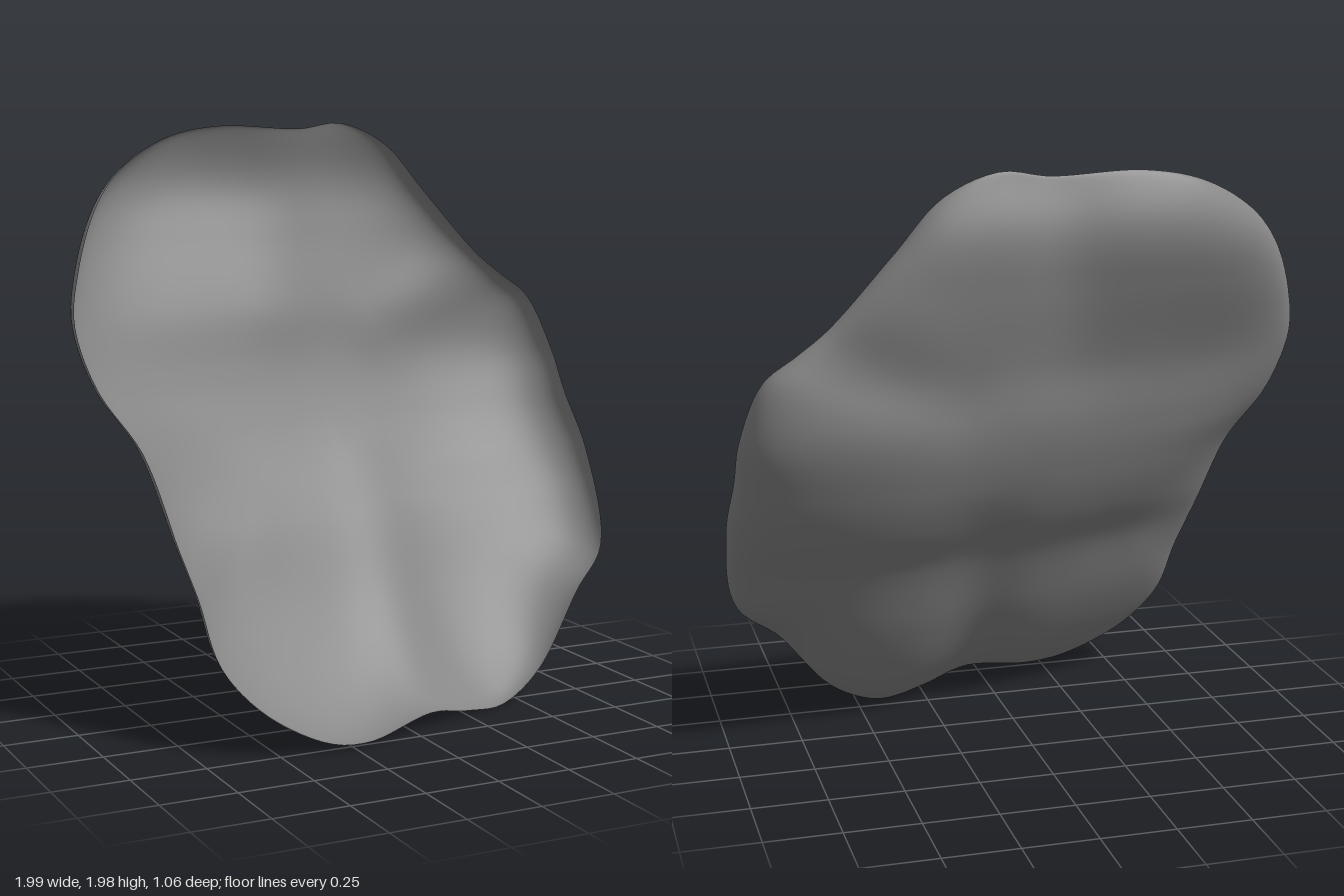
import * as THREE from 'three';

// Open rim of the shell, counter-clockwise from the right-hand side: x, y, z
const RIM = [
  [0.995, 0.8, -0.09], [0.98, 1.0, -0.22], [0.97, 1.15, -0.3], [0.9, 1.35, -0.37], [0.8, 1.43, -0.39],
  [0.7, 1.51, -0.4], [0.5, 1.74, -0.44], [0.35, 1.91, -0.46], [0.17, 1.985, -0.46], [0, 1.965, -0.44],
  [-0.3, 1.975, -0.43], [-0.5, 1.94, -0.41], [-0.7, 1.84, -0.32], [-0.83, 1.72, -0.21], [-0.95, 1.52, -0.05],
  [-0.995, 1.35, 0.035], [-0.95, 1.15, 0.115], [-0.83, 0.95, 0.19], [-0.75, 0.65, 0.29], [-0.71, 0.5, 0.35],
  [-0.67, 0.3, 0.43], [-0.55, 0.15, 0.49], [-0.35, 0.04, 0.53], [-0.2, 0.02, 0.52], [0.07, 0.06, 0.44],
  [0.25, 0.025, 0.37], [0.42, 0.01, 0.31], [0.6, 0.1, 0.25], [0.8, 0.34, 0.17], [0.95, 0.48, 0.09],
];

// Depth of the back along its height: y, z
const BACK = [[0, 0.17], [0.15, 0.06], [0.36, -0.06], [0.63, -0.2], [0.79, -0.32], [0.95, -0.41],
  [1.15, -0.485], [1.35, -0.505], [1.6, -0.54], [1.8, -0.555], [2, -0.5]];

// Soft folds running in from the notches of the outline: start, end, width, height
const FOLDS = [
  [0.1, 0, 0.15, 0.75, 0.14, 0.045],
  [-0.02, 2, -0.12, 1.35, 0.16, 0.03],
  [0.8, 1.5, 0.3, 1.25, 0.13, 0.035],
  [-0.85, 0.98, -0.4, 0.65, 0.15, 0.03],
];

// Smooth interpolation through a y -> z table
function sample(table, y) {
  let i = 0;
  while (i < table.length - 2 && y > table[i + 1][0]) i++;
  const at = (j) => table[Math.min(Math.max(j, 0), table.length - 1)];
  const slope = (j) => (at(j + 1)[1] - at(j - 1)[1]) / (at(j + 1)[0] - at(j - 1)[0]);
  const [y0, z0] = at(i), [y1, z1] = at(i + 1), h = y1 - y0;
  const t = THREE.MathUtils.clamp((y - y0) / h, 0, 1), t2 = t * t, t3 = t2 * t;
  return (2 * t3 - 3 * t2 + 1) * z0 + (t3 - 2 * t2 + t) * h * slope(i)
    + (3 * t2 - 2 * t3) * z1 + (t3 - t2) * h * slope(i + 1);
}

// Height of one fold, fading out around its end
function foldHeight([x0, y0, x1, y1, width, height], x, y) {
  const dx = x1 - x0, dy = y1 - y0;
  const t = THREE.MathUtils.clamp(((x - x0) * dx + (y - y0) * dy) / (dx * dx + dy * dy), 0, 1);
  const d = Math.hypot(x - x0 - t * dx, y - y0 - t * dy);
  return height * Math.exp(-((d / width) ** 2)) * (1 - 0.6 * THREE.MathUtils.smoothstep(t, 0, 1));
}

// Floor of the hollow: leans back, comes forward towards -x, with soft folds
function floorDepth(x, y) {
  const lean = 0.25 - 0.2 * THREE.MathUtils.smoothstep(y, 1.1, 1.95);
  const d = 0.5 - x;
  const across = (d + Math.sqrt(d * d + 0.04)) / 2;
  return sample(BACK, y) + lean * across + FOLDS.reduce((sum, f) => sum + foldHeight(f, x, y), 0);
}

export function createModel() {
  const group = new THREE.Group();
  group.name = 'rockShell';

  const rim = new THREE.CatmullRomCurve3(RIM.map((p) => new THREE.Vector3(...p)), true, 'centripetal');
  const around = 180, rings = 48, cx = 0.02, cy = 1;
  const loop = rim.getSpacedPoints(around).slice(0, around);

  // Rings grow from the centre of the floor and turn up into the rim wall
  const positions = [cx, cy, floorDepth(cx, cy)];
  for (let j = 1; j <= rings; j++) {
    const a = (j / rings) * Math.PI / 2;
    const s = Math.pow(Math.sin(a), 0.65);
    const wall = Math.pow(1 - Math.cos(a), 1.7);
    for (const p of loop) {
      const x = cx + (p.x - cx) * s, y = cy + (p.y - cy) * s;
      positions.push(x, y, THREE.MathUtils.lerp(floorDepth(x, y), p.z, wall));
    }
  }
  const index = [];
  for (let i = 0; i < around; i++) {
    const n = (i + 1) % around;
    index.push(0, 1 + i, 1 + n);
    for (let j = 0; j < rings - 1; j++) {
      const a = 1 + j * around + i, b = 1 + j * around + n;
      index.push(a, a + around, b + around, a, b + around, b);
    }
  }
  const geometry = new THREE.BufferGeometry();
  geometry.setAttribute('position', new THREE.Float32BufferAttribute(positions, 3));
  geometry.setIndex(index);
  geometry.computeVertexNormals();

  const shell = new THREE.Mesh(geometry, new THREE.MeshStandardMaterial({ color: 0x868686, side: THREE.DoubleSide }));
  shell.name = 'shell';
  group.add(shell);
  return group;
}
